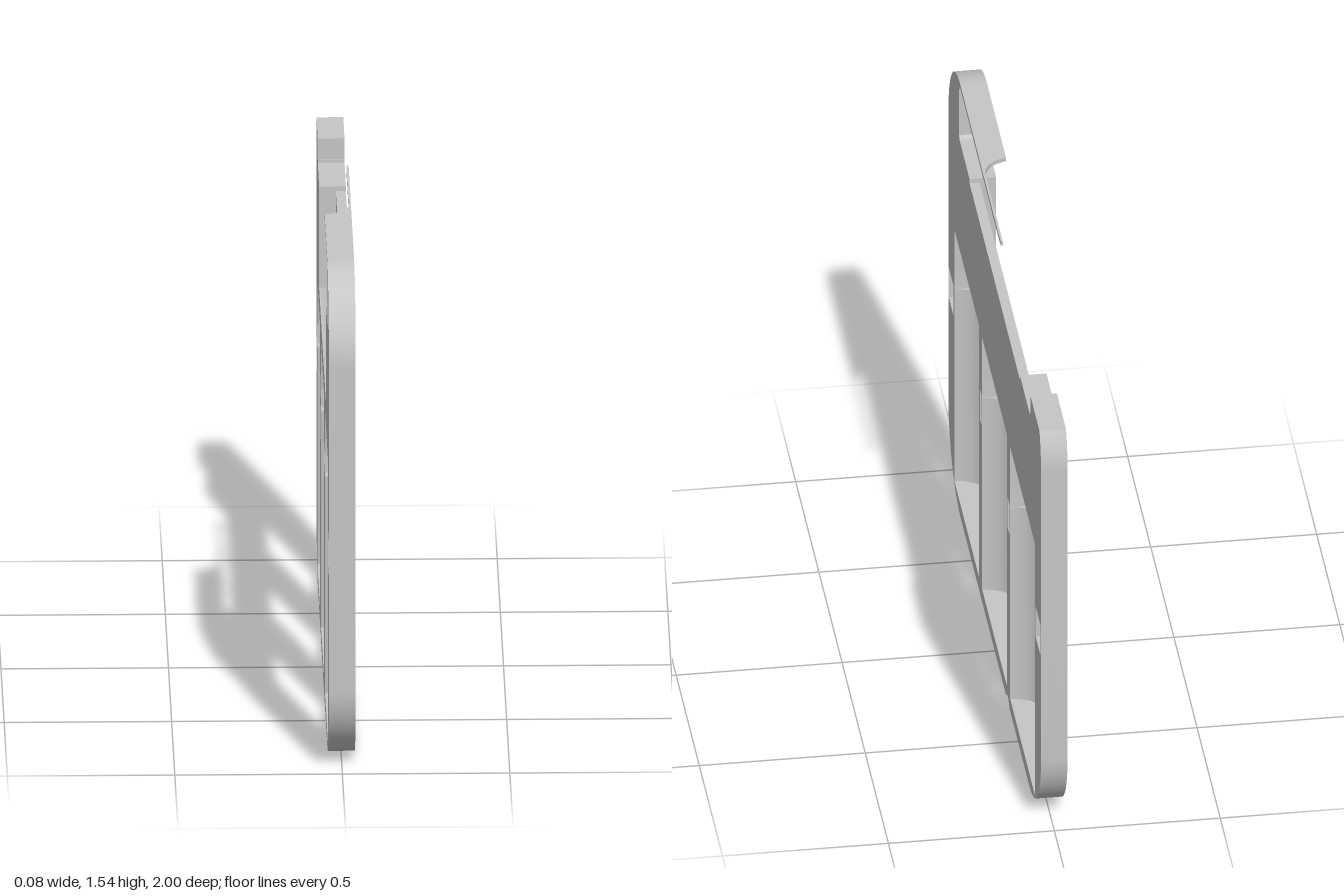
import * as THREE from 'three';
import { toCreasedNormals } from 'three/addons/utils/BufferGeometryUtils.js';

const T = 0.04; // half thickness of the plate
const FLOOR = 0.01; // depth (x) of the scooped recess floor
const V = (x, y, z) => new THREE.Vector3(x, y, z);

export function createModel() {
  const model = new THREE.Group();
  model.name = 'batteryFrame';
  const grey = new THREE.MeshStandardMaterial({ color: 0xc6c6c6 });
  grey.name = 'plainGrey';

  // Extrude a shape; p and q are the world directions of the shape's axes,
  // and the extrusion is centred on the origin given.
  function extrude(name, shape, length, origin, p, q) {
    const g = new THREE.ExtrudeGeometry(shape, { depth: length, bevelEnabled: false, curveSegments: 16 });
    g.translate(0, 0, -length / 2);
    const basis = new THREE.Matrix4().makeBasis(p, q, p.clone().cross(q)).setPosition(origin);
    g.applyMatrix4(basis);
    const mesh = new THREE.Mesh(toCreasedNormals(g, 0.5), grey);
    mesh.name = name;
    model.add(mesh);
  }

  // Concave corner filler: w along p, d along q, bend sets how deep it curves
  function cove(name, w, d, bend, length, origin, p, q) {
    const s = new THREE.Shape();
    s.moveTo(0, 0);
    s.lineTo(w, 0);
    s.quadraticCurveTo(w * bend, d * bend, 0, d);
    extrude(name, s, length, origin, p, q);
  }

  // Counter-clockwise hole, opposite to the clockwise plate outline
  function rectHole(u0, u1, y0, y1) {
    const h = new THREE.Path();
    h.moveTo(u0, y0);
    h.lineTo(u1, y0);
    h.lineTo(u1, y1);
    h.lineTo(u0, y1);
    h.closePath();
    return h;
  }

  const windows = [[-0.87, -0.34], [-0.27, 0.27], [0.335, 0.865]];
  const slots = [[-0.993, -0.887], [-0.32, -0.285], [0.28, 0.315], [0.885, 0.993]];

  // Plate outline, u = -z across and y up
  function outline(withRecess) {
    const s = new THREE.Shape();
    const line = (pts) => pts.forEach(([u, y]) => s.lineTo(u, y));
    s.moveTo(-1, 0.26);
    s.lineTo(-1, 1.277);
    s.absarc(-0.74, 1.277, 0.26, Math.PI, Math.PI / 2, true);
    line([[-0.74, 1.523], [-0.755, 1.523], [-0.76, 1.51], [-0.77, 1.505], [-0.77, 1.34],
      [-0.76, 1.33], [-0.543, 1.33], [-0.543, 1.315]]);
    if (withRecess) line([[-0.543, 1.01], [0.543, 1.01]]);
    line([[0.543, 1.315], [0.543, 1.33], [0.765, 1.33], [0.765, 1.34], [0.77, 1.34], [0.77, 1.405]]);
    s.absarc(0.74, 1.277, 0.26, 0.515, 0, true);
    s.absarc(0.74, 0.26, 0.26, 0, -Math.PI / 2, true);
    s.absarc(0.28, -0.025, 0.045, 0.589, Math.PI - 0.589, false); // small notch in the base
    s.absarc(-0.74, 0.26, 0.26, -Math.PI / 2, -Math.PI, true);
    windows.forEach(([a, b]) => s.holes.push(rectHole(a, b, 0.045, 0.94)));
    slots.forEach(([a, b]) => s.holes.push(rectHole(a, b, 0.62, 0.727)));
    return s;
  }

  // Two layers: a full outer skin and an inner one cut away for the recess
  const U = V(0, 0, -1), Y = V(0, 1, 0);
  extrude('outerPlate', outline(false), T - FLOOR, V((T + FLOOR) / 2, 0, 0), U, Y);
  extrude('innerPlate', outline(true), T + FLOOR, V((FLOOR - T) / 2, 0, 0), U, Y);

  // Curved cradles down both sides of each window, broken by a gap
  for (const [a, b] of windows) {
    for (const [y0, y1] of [[0.045, 0.727], [0.795, 0.94]]) {
      for (const [u, dir] of [[a, -1], [b, 1]]) {
        cove('windowCradle', 0.043, 2 * T, 0.22, y1 - y0, V(-T, (y0 + y1) / 2, -u), V(0, 0, dir), V(1, 0, 0));
      }
    }
  }

  // Rounded bottom of the recess
  cove('recessBottomFillet', 0.075, T + FLOOR, 0.05, 1.086, V(FLOOR, 1.01, 0), Y, V(-1, 0, 0));

  // Overhanging arm: full width, then curving into a thin strip
  const arm = new THREE.Shape();
  arm.moveTo(-T, -0.74);
  arm.lineTo(T, -0.74);
  arm.lineTo(T, 0.125);
  arm.lineTo(0.033, 0.125);
  arm.lineTo(0.033, -0.25);
  arm.quadraticCurveTo(0.025, -0.315, -T, -0.33);
  extrude('topArm', arm, 0.014, V(0, 1.53, 0), V(1, 0, 0), U);

  return model;
}
